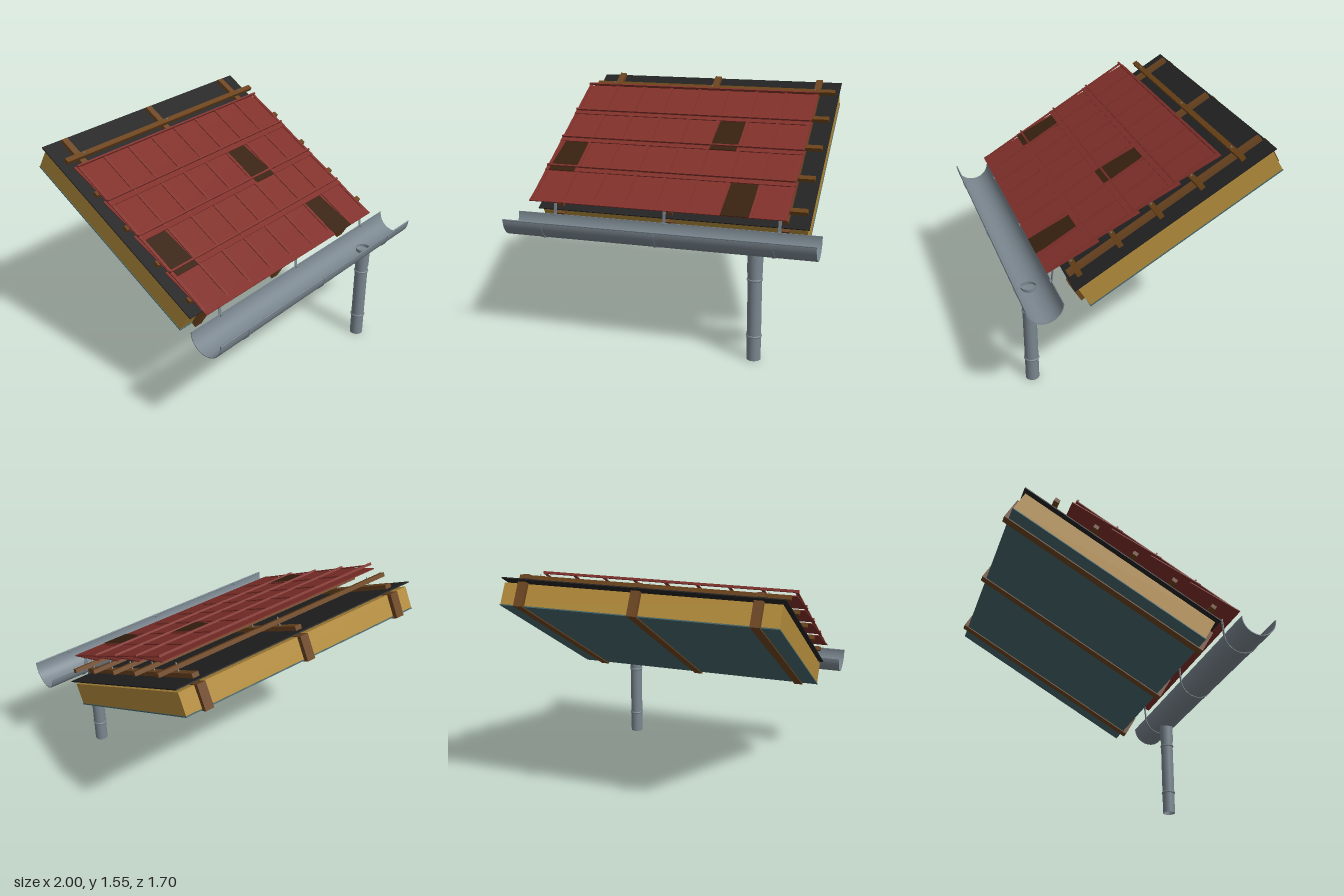
import * as THREE from 'three';
import { toCreasedNormals } from 'three/addons/utils/BufferGeometryUtils.js';

const material = (name, color, side = THREE.FrontSide) => {
  const m = new THREE.MeshStandardMaterial({ color, side });
  m.name = name;
  return m;
};

export function createModel() {
  const model = new THREE.Group();
  model.name = 'roofSection';

  const timber = material('rafter brown', 0x6b4420);
  const battenWood = material('batten brown', 0x6a4218);
  const wool = material('insulation gold', 0xb0893a);
  const vapour = material('vapour barrier teal', 0x45676a);
  const felt = material('underlay black', 0x222222);
  const clay = material('tile red', 0x80302a);
  const darkClay = material('tile dark brown', 0x38210f);
  const zinc = material('gutter grey', 0x7a868f, THREE.DoubleSide);

  const add = (parent, name, geometry, mat, x = 0, y = 0, z = 0) => {
    const mesh = new THREE.Mesh(geometry, mat);
    mesh.name = name;
    mesh.position.set(x, y, z);
    parent.add(mesh);
    return mesh;
  };
  // Box given by its limits: width about x, then y and z ranges
  const slab = (parent, name, mat, x, width, y0, y1, z0, z1) =>
    add(parent, name, new THREE.BoxGeometry(width, y1 - y0, z1 - z0), mat, x, (y0 + y1) / 2, (z0 + z1) / 2);

  // Everything on the slope: local z runs down the roof, local y is its normal
  const roof = new THREE.Group();
  roof.name = 'slopedRoof';
  roof.position.y = 1;
  roof.rotation.x = Math.PI / 6;
  model.add(roof);

  slab(roof, 'insulation', wool, 0, 1.775, -0.085, 0.056, -0.89, 0.53);
  slab(roof, 'vapourBarrier', vapour, 0, 1.78, -0.093, -0.086, -0.893, 0.535);
  slab(roof, 'underlay', felt, 0, 1.81, 0.076, 0.083, -0.912, 0.555);

  for (const x of [-0.75, 0, 0.75]) {
    slab(roof, 'rafter', timber, x, 0.058, -0.1, 0.06, -0.923, 0.566);
    slab(roof, 'counterBatten', timber, x, 0.045, 0.092, 0.12, -0.89, 0.535);
  }

  // Battens with nails over the rafters
  for (let i = 0; i < 5; i++) {
    const z = 0.472 - i * 0.2955;
    slab(roof, 'batten', battenWood, 0, 1.775, 0.137, 0.164, z - 0.017, z + 0.017);
    for (const x of [-0.75, 0, 0.75])
      add(roof, 'nail', new THREE.CylinderGeometry(0.004, 0.004, 0.06, 8), zinc, x, 0.147, z);
  }

  // Tile rows: tilted pans, level side ribs and a bar across the head
  const pitch = 0.2085, firstX = -0.788, columns = 8;
  const tilt = Math.atan2(0.031, 0.363), darkColumn = [6, 0, 5, -1];
  for (let r = 0; r < 4; r++) {
    const row = new THREE.Group();
    row.name = 'tileRow';
    row.position.set(0, 0.222, 0.628 - r * 0.297);
    roof.add(row);
    const midX = firstX + pitch * (columns - 1) / 2;

    const pans = new THREE.Group();
    pans.name = 'tilePans';
    pans.rotation.x = -tilt;
    row.add(pans);
    slab(pans, 'tilePan', clay, midX, pitch * (columns - 1) + 0.235, -0.003, 0.003, -0.364, 0);
    if (darkColumn[r] >= 0)
      slab(pans, 'darkTile', darkClay, firstX + pitch * darkColumn[r], 0.18, 0.003, 0.006, -0.35, 0.001);

    for (let c = 0; c <= columns; c++)
      slab(row, 'tileRib', clay, firstX + pitch * (c - 0.5), 0.02, -0.005, 0.001, -0.343, -0.03);
    slab(row, 'tileHeadBar', clay, midX, pitch * (columns - 1) + 0.235, -0.003, 0.012, -0.347, -0.335);
  }

  // Half-round profile turned so it runs along x; shape x points to the house
  const alongX = (shape, length) => {
    const g = new THREE.ExtrudeGeometry(shape, { depth: length, bevelEnabled: false, curveSegments: 32 });
    g.translate(0, 0, -length / 2).rotateY(Math.PI / 2);
    return toCreasedNormals(g, 0.6);
  };
  const trough = new THREE.Shape();
  trough.moveTo(-0.117, 0);
  trough.absarc(0, 0, 0.117, Math.PI, 2 * Math.PI, false);
  trough.lineTo(0.112, 0);
  trough.absarc(0, 0, 0.112, 2 * Math.PI, Math.PI, true);

  const gutter = new THREE.Group();
  gutter.name = 'gutter';
  gutter.position.set(0, 0.79, 0.73);
  model.add(gutter);
  add(gutter, 'gutterTrough', alongX(trough, 2), zinc);
  const bead = new THREE.CylinderGeometry(0.005, 0.005, 2, 10).rotateZ(Math.PI / 2);
  add(gutter, 'gutterLip', bead, zinc, 0, 0.003, 0.116);

  // Gutter brackets with a stem rising under the tiles
  const hook = new THREE.Shape();
  hook.moveTo(-0.121, 0);
  hook.absarc(0, 0, 0.121, Math.PI, 2 * Math.PI, false);
  hook.lineTo(0.131, 0.105);
  hook.lineTo(0.125, 0.105);
  hook.lineTo(0.116, 0);
  hook.absarc(0, 0, 0.116, 2 * Math.PI, Math.PI, true);
  for (const x of [-0.742, 0, 0.738]) {
    add(gutter, 'gutterBracket', alongX(hook, 0.02), zinc, x);
    for (const side of [-1, 1])
      add(gutter, 'bracketClip', new THREE.BoxGeometry(0.02, 0.014, 0.014), zinc, x, -0.006, side * 0.111);
  }

  // Downpipe: open tubes with a collar and clamp rings
  const pipe = new THREE.Group();
  pipe.name = 'downpipe';
  pipe.position.set(0.616, 0, 0.73);
  model.add(pipe);
  const tube = (name, radius, y0, y1) =>
    add(pipe, name, new THREE.CylinderGeometry(radius, radius, y1 - y0, 32, 1, true), zinc, 0, (y0 + y1) / 2, 0);
  tube('pipe', 0.044, 0, 0.66);
  tube('pipeCollar', 0.048, 0.565, 0.7);
  for (const y of [0.155, 0.52])
    add(pipe, 'pipeClamp', new THREE.TorusGeometry(0.042, 0.008, 8, 32).rotateX(Math.PI / 2), zinc, 0, y, 0);

  return model;
}
